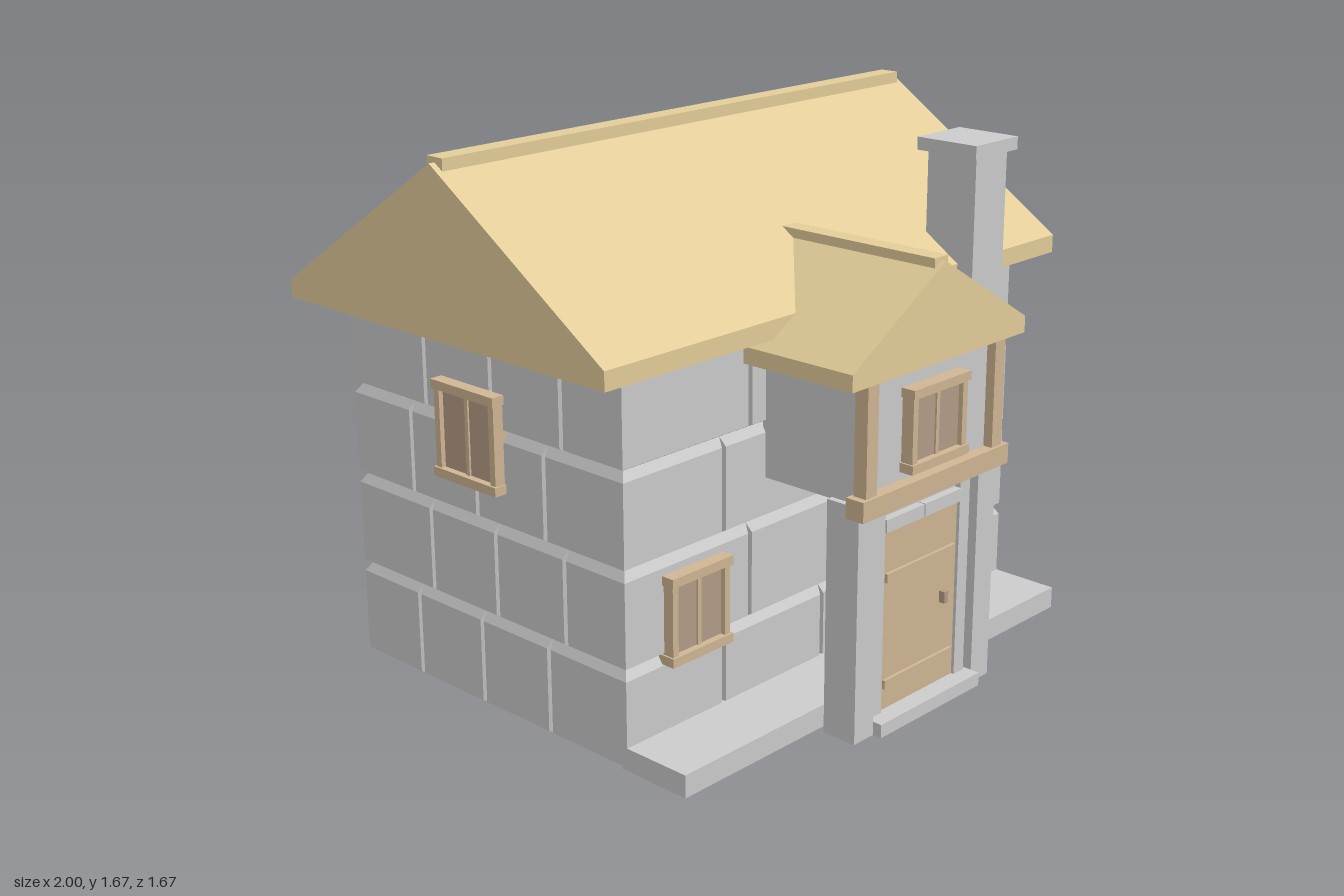
import * as THREE from 'three';

const material = (color) => new THREE.MeshStandardMaterial({ color, flatShading: true });

export function createModel() {
  const root = new THREE.Group();
  root.name = 'cottage';
  const stone = material(0xcccccc);
  const straw = material(0xe3cd99);
  const wood = material(0xcfb694);
  const darkWood = material(0xb49c86);

  const add = (name, geometry, mat, parent = root) => {
    const mesh = new THREE.Mesh(geometry, mat);
    mesh.name = name;
    parent.add(mesh);
    return mesh;
  };
  // Box given by its limits on each axis
  const box = (name, mat, [x0, x1], [y0, y1], [z0, z1], parent = root) => {
    const mesh = add(name, new THREE.BoxGeometry(x1 - x0, y1 - y0, z1 - z0), mat, parent);
    mesh.position.set((x0 + x1) / 2, (y0 + y1) / 2, (z0 + z1) / 2);
    return mesh;
  };
  const group = (name, x = 0, y = 0, z = 0, turn = 0) => {
    const g = new THREE.Group();
    g.name = name;
    g.position.set(x, y, z);
    g.rotation.y = turn;
    root.add(g);
    return g;
  };

  // House core, set back behind the stone facing
  const depth = 0.018;
  box('wallCore', stone, [-0.87 + depth, 0.87 - depth], [0, 1.17], [-0.73 + depth, 0.43 - depth]);

  // Stone with bevelled outer edges; ends at a house corner are mitred instead
  const rows = [0, 0.3, 0.595, 0.885, 1.165];
  const stoneBlock = (x0, x1, y0, y1, atStart, atEnd) => {
    const g = new THREE.BoxGeometry(1, 1, 1);
    const p = g.attributes.position;
    for (let i = 0; i < p.count; i++) {
      const right = p.getX(i) > 0, top = p.getY(i) > 0, outer = p.getZ(i) > 0;
      let x = right ? x1 : x0, y = top ? y1 : y0;
      if (outer) {
        if (!(right ? atEnd : atStart)) x += right ? -0.008 : 0.008;
        y += top ? -0.028 : 0.01;
      } else if (right ? atEnd : atStart) x += right ? -depth : depth;
      p.setXYZ(i, x, y, outer ? 0 : -depth);
    }
    g.computeVertexNormals();
    return g;
  };
  const wall = (name, width, shifts, x, z, turn) => {
    const g = group(name, x, 0, z, turn);
    for (let r = 0; r < 4; r++) {
      const shift = shifts[r % 2];
      const cuts = [-width / 2, ...[-1, 0, 1].map((k) => k * width / 4 + shift), width / 2];
      for (let i = 0; i < 4; i++) {
        add('wallStone', stoneBlock(cuts[i], cuts[i + 1], rows[r], rows[r + 1], i === 0, i === 3), stone, g);
      }
    }
  };
  wall('frontWall', 1.74, [-0.04, 0.07], 0, 0.43, 0);
  wall('backWall', 1.74, [-0.04, 0.07], 0, -0.73, Math.PI);
  wall('leftWall', 1.16, [-0.025, 0.05], 0.87, -0.15, Math.PI / 2);
  wall('rightWall', 1.16, [-0.025, 0.05], -0.87, -0.15, -Math.PI / 2);

  // Solid gable roof: five-sided profile extruded along its ridge
  const gable = (name, halfSpan, base, eave, apex, length) => {
    const s = new THREE.Shape([
      [-halfSpan, base], [halfSpan, base], [halfSpan, eave], [0, apex], [-halfSpan, eave],
    ].map(([x, y]) => new THREE.Vector2(x, y)));
    return add(name, new THREE.ExtrudeGeometry(s, { depth: length, bevelEnabled: false }), straw);
  };
  const mainRoof = gable('mainRoof', 0.67, 1.16, 1.217, 1.66, 2);
  mainRoof.rotation.y = Math.PI / 2;
  mainRoof.position.set(-1, 0, -0.167);
  box('mainRidge', straw, [-0.98, 0.98], [1.635, 1.675], [-0.2, -0.135]);
  const porchRoof = gable('porchRoof', 0.395, 1.085, 1.135, 1.375, 0.625);
  porchRoof.position.z = 0.2;
  box('porchRidge', straw, [-0.03, 0.03], [1.345, 1.385], [0.25, 0.81]);

  // Front plinth and chimney
  box('frontPlinth', stone, [-0.87, 0.87], [0, 0.07], [0.41, 0.655]);
  box('chimneyShaft', stone, [0.49, 0.645], [0.07, 1.56], [0.38, 0.56]);
  box('chimneyCap', stone, [0.46, 0.67], [1.555, 1.595], [0.36, 0.58]);

  // Porch: upper room on a stone door surround
  box('porchRoom', stone, [-0.3, 0.3], [0.72, 1.1], [0.42, 0.785]);
  box('porchBeam', wood, [-0.338, 0.338], [0.693, 0.755], [0.762, 0.825]);
  for (const s of [-1, 1]) {
    const span = (a, b) => (s > 0 ? [a, b] : [-b, -a]);
    box('porchPost', wood, span(0.268, 0.315), [0.755, 1.085], [0.77, 0.815]);
    box('doorPilaster', stone, span(0.235, 0.32), [0, 0.725], [0.68, 0.795]);
    box('doorJamb', stone, span(0.175, 0.222), [0, 0.69], [0.69, 0.775]);
    box('doorLintel', stone, span(0.002, 0.175), [0.605, 0.645], [0.7, 0.78]);
  }
  box('doorWall', stone, [-0.24, 0.24], [0.01, 0.724], [0.685, 0.755]);
  box('doorStep', stone, [-0.235, 0.235], [0, 0.042], [0.7, 0.825]);

  // Door with straps and handle
  box('door', wood, [-0.175, 0.175], [0.042, 0.605], [0.72, 0.765]);
  for (const y of [0.11, 0.445]) box('doorStrap', wood, [-0.16, 0.16], [y, y + 0.028], [0.76, 0.775]);
  box('doorHandle', darkWood, [0.102, 0.12], [0.3, 0.337], [0.76, 0.785]);

  // Windows: four frame bars, a mullion and two recessed shutters
  const windowUnit = (name, w, h, x, y, z, turn = 0) => {
    const g = group(name, x, y, z, turn);
    const a = w / 2, b = h / 2, t = 0.028;
    for (const s of [-1, 1]) {
      const side = (p, q) => (s > 0 ? [p, q] : [-q, -p]);
      box('frameSide', wood, side(a - t, a - 0.006), [-b + 0.01, b - 0.01], [-0.02, 0.035], g);
      box('frameRail', wood, [-a, a], side(b - t, b), [-0.02, 0.042], g);
      box('shutter', darkWood, side(0.007, a - t), [-b + t, b - t], [-0.02, 0.02], g);
    }
    box('mullion', wood, [-0.007, 0.007], [-b + t, b - t], [-0.02, 0.026], g);
  };
  windowUnit('porchWindow', 0.262, 0.25, 0, 0.905, 0.79);
  windowUnit('frontWindow', 0.245, 0.268, -0.603, 0.411, 0.43);
  windowUnit('sideWindow', 0.27, 0.295, -0.87, 0.852, -0.18, -Math.PI / 2);

  return root;
}
